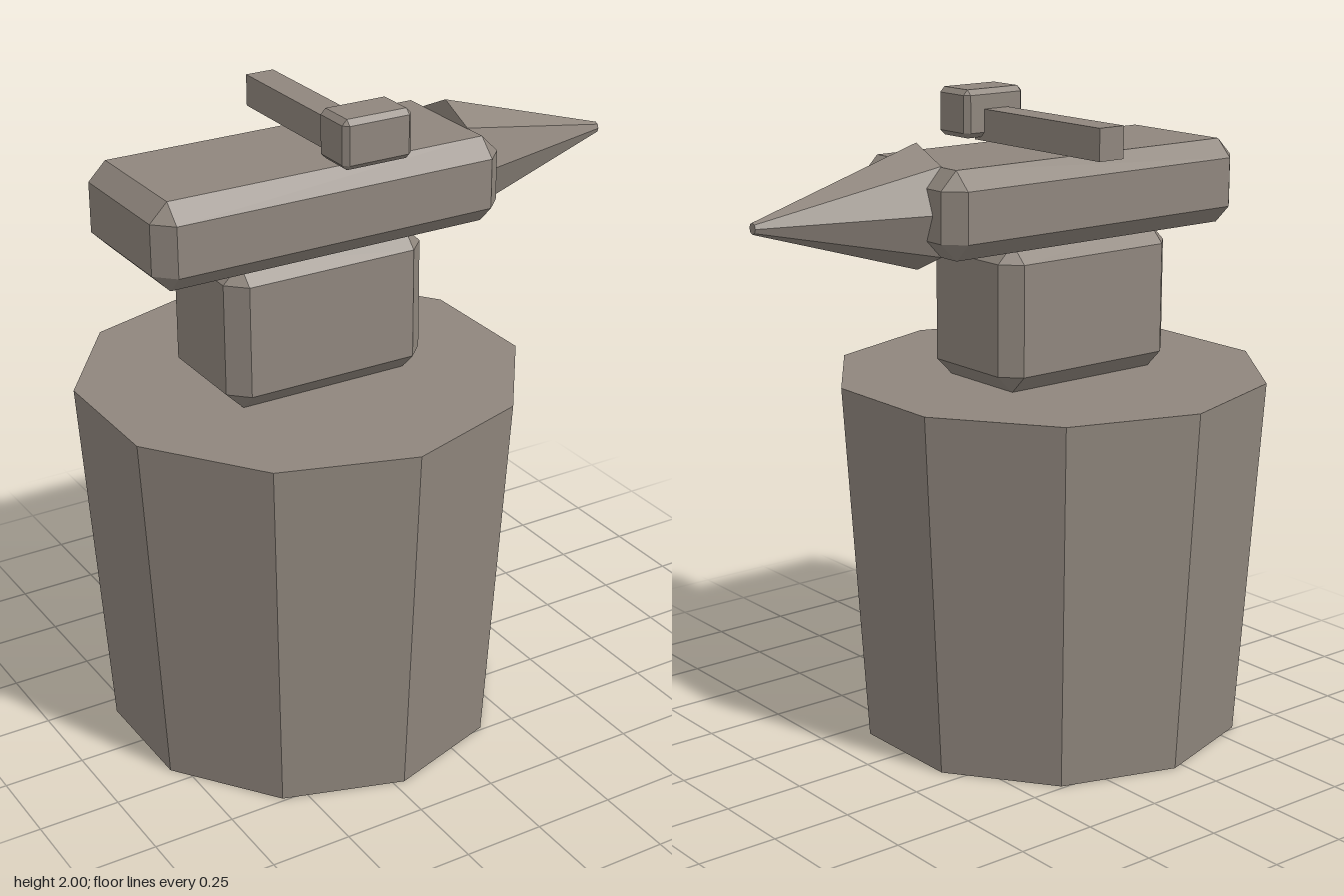
import * as THREE from 'three';
import { ConvexGeometry } from 'three/addons/geometries/ConvexGeometry.js';

const stone = new THREE.MeshStandardMaterial({ color: 0x8f867d });
stone.name = 'warm grey';
const dark = new THREE.MeshStandardMaterial({ color: 0x24241c });
dark.name = 'dark underside';
stone.flatShading = dark.flatShading = true;

// Box with all edges cut by a flat bevel, given by its minimum and maximum corners
function chamferBox(min, max, bevel) {
  const half = min.map((v, i) => (max[i] - v) / 2);
  const mid = min.map((v, i) => (max[i] + v) / 2);
  const points = [];
  for (const sx of [-1, 1]) for (const sy of [-1, 1]) for (const sz of [-1, 1]) {
    const s = [sx, sy, sz];
    for (let outer = 0; outer < 3; outer++) {
      const p = s.map((sign, i) => mid[i] + sign * (half[i] - (i === outer ? 0 : bevel)));
      points.push(new THREE.Vector3(...p));
    }
  }
  return new ConvexGeometry(points);
}

export function createModel() {
  const model = new THREE.Group();
  model.name = 'anvilOnStump';
  const add = (name, geometry, material, parent = model) => {
    const mesh = new THREE.Mesh(geometry, material);
    mesh.name = name;
    parent.add(mesh);
    return mesh;
  };

  // Ten-sided stump, wider at the top
  const stump = new THREE.CylinderGeometry(0.678, 0.605, 1.135, 10);
  add('stump', stump, [stone, stone, dark]).position.set(-0.217, 0.5675, 0);

  // Anvil: waist, body and horn
  const anvil = new THREE.Group();
  anvil.name = 'anvil';
  model.add(anvil);
  add('waist', chamferBox([-0.545, 1.135, -0.205], [0.11, 1.585, 0.205], 0.055), stone, anvil);
  add('body', chamferBox([-0.785, 1.57, -0.247], [0.35, 1.832, 0.247], 0.055), stone, anvil);
  const horn = new THREE.CylinderGeometry(0.017, 0.187, 0.564, 8);
  horn.rotateZ(-Math.PI / 2);
  horn.scale(1, 1, 0.9);
  add('horn', horn, stone, anvil).position.set(0.575, 1.702, 0);

  // Hammer lying across the anvil
  const hammer = new THREE.Group();
  hammer.name = 'hammer';
  model.add(hammer);
  add('hammerHead', chamferBox([-0.235, 1.853, 0.153], [-0.01, 2, 0.3], 0.016), stone, hammer);
  add('hammerHandle', new THREE.BoxGeometry(0.092, 0.097, 0.58), stone, hammer)
    .position.set(-0.124, 1.891, -0.09);

  return model;
}
